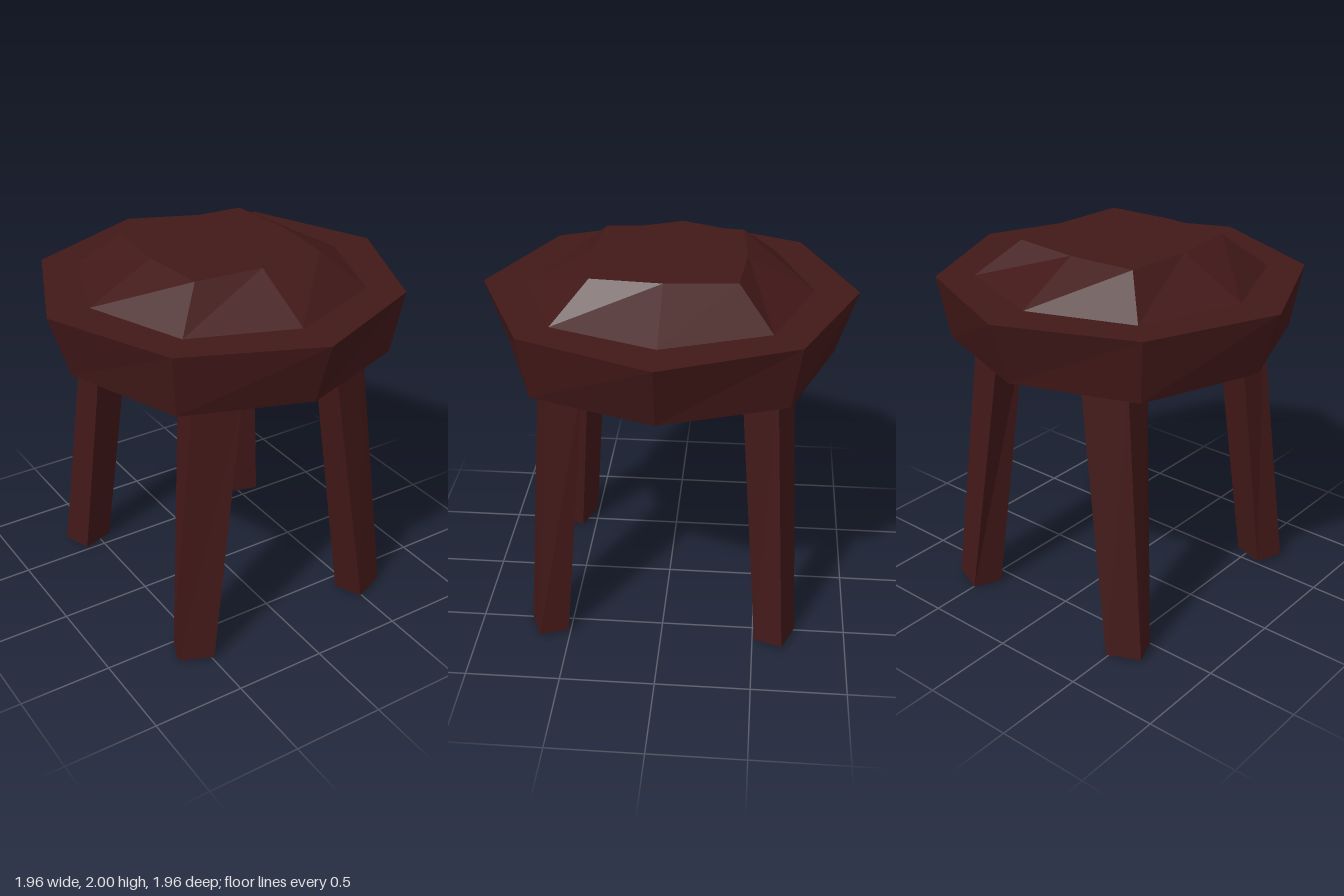
import * as THREE from 'three';

const wood = new THREE.MeshStandardMaterial({ color: 0x421818, flatShading: true });
const grey = new THREE.MeshStandardMaterial({ color: 0xcccccc, flatShading: true });

// Skin a stack of rings; points run counterclockwise as seen from above.
function loft(name, rings, material, capStart, capEnd) {
  const pos = [];
  const tri = (...pts) => pts.forEach((p) => pos.push(...p));
  const n = rings[0].length;
  for (let r = 0; r < rings.length - 1; r++) {
    for (let i = 0; i < n; i++) {
      const j = (i + 1) % n;
      const [lo, hi] = [rings[r], rings[r + 1]];
      tri(lo[i], lo[j], hi[j]);
      tri(lo[i], hi[j], hi[i]);
    }
  }
  const first = rings[0], last = rings[rings.length - 1];
  for (let i = 1; i < n - 1; i++) {
    if (capStart) tri(first[0], first[i + 1], first[i]);
    if (capEnd) tri(last[0], last[i], last[i + 1]);
  }
  const geo = new THREE.BufferGeometry();
  geo.setAttribute('position', new THREE.Float32BufferAttribute(pos, 3));
  geo.computeVertexNormals();
  const mesh = new THREE.Mesh(geo, material);
  mesh.name = name;
  return mesh;
}

// Octagon with separate radii for the axis corners and the diagonal corners.
function octagon(y, axis, diagonal) {
  return Array.from({ length: 8 }, (_, i) => {
    const a = (i * Math.PI) / 4;
    const r = i % 2 ? diagonal : axis;
    return [r * Math.cos(a), y, -r * Math.sin(a)];
  });
}

// Shrink a ring about its centre and raise it.
function inset(ring, s, lift) {
  const c = [0, 1, 2].map((k) => ring.reduce((sum, p) => sum + p[k], 0) / ring.length);
  return ring.map((p) => p.map((v, k) => c[k] + (v - c[k]) * s + (k === 1 ? lift : 0)));
}

// One twisted, splayed leg with a recessed foot, mirrored by the signs.
function leg(sx, sz) {
  const group = new THREE.Group();
  group.name = `${sz > 0 ? 'front' : 'back'}${sx > 0 ? 'Left' : 'Right'}Leg`;
  const place = (pts) => {
    const ring = pts.map(([x, y, z]) => [x * sx, y, z * sz]);
    return sx * sz < 0 ? ring.reverse() : ring;
  };
  const bottom = place([[0.49, 0.005, 0.73], [0.67, 0.015, 0.66], [0.61, 0.01, 0.51], [0.425, 0, 0.58]]);
  const top = place([[0.28, 1.5, 0.66], [0.515, 1.5, 0.58], [0.49, 1.5, 0.4], [0.28, 1.5, 0.47]]);
  group.add(loft('legShaft', [bottom, top], wood, false, true));
  group.add(loft('footRecess', [inset(bottom, 0.4, 0.06), inset(bottom, 0.75, 0), bottom], grey, true, false));
  return group;
}

export function createModel() {
  const model = new THREE.Group();
  model.name = 'stool';

  // Flared eight-sided seat
  model.add(loft('seat', [octagon(1.475, 0.87, 0.905), octagon(1.815, 0.98, 0.97)], wood, true, true));

  // Raised faceted centre
  model.add(loft('seatDome', [octagon(1.815, 0.75, 0.77), octagon(2, 0.4, 0.52)], wood, false, true));

  for (const sx of [1, -1]) for (const sz of [1, -1]) model.add(leg(sx, sz));
  return model;
}
